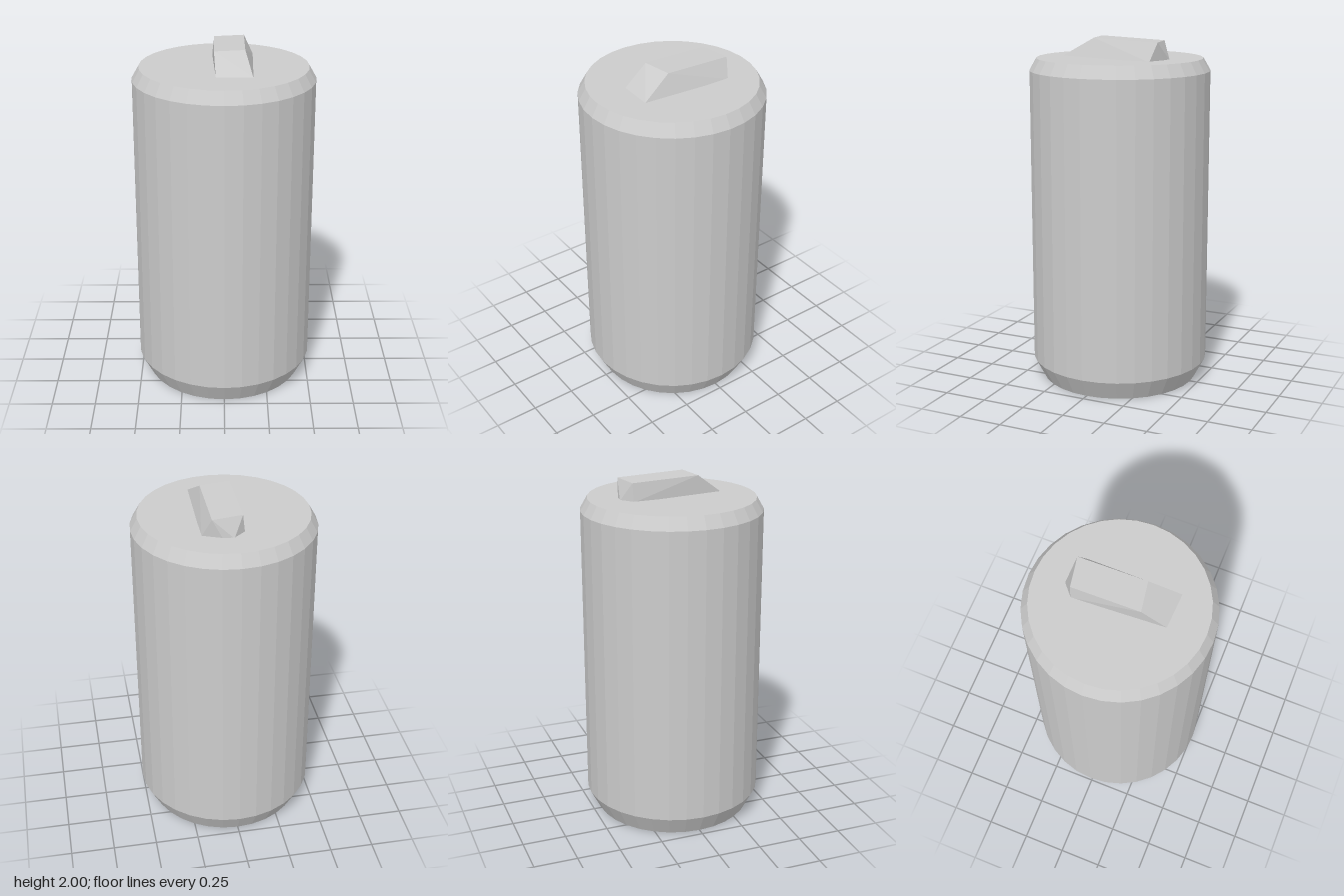
import * as THREE from 'three';
import { ConvexGeometry } from 'three/addons/geometries/ConvexGeometry.js';

export function createModel() {
  const group = new THREE.Group();
  const material = new THREE.MeshStandardMaterial({ color: 0xcccccc, flatShading: true });
  const add = (name, geometry) => {
    const mesh = new THREE.Mesh(geometry, material);
    mesh.name = name;
    group.add(mesh);
  };

  // Can body: closed profile with tapered shoulders at both ends
  const profile = [
    [0, 0], [0.455, 0], [0.515, 0.115], [0.515, 1.815], [0.475, 1.885], [0, 1.885],
  ].map(([r, y]) => new THREE.Vector2(r, y));
  add('canBody', new THREE.LatheGeometry(profile, 32));

  // Pull tab: faceted wedge, its tip lifted off the lid and its back sunk into it
  const corners = [
    // upper face
    [-0.055, 2.0, 0.135], [0.115, 2.0, 0.107], [0.115, 1.985, -0.28], [-0.055, 1.985, -0.25],
    // front tip
    [-0.045, 1.897, 0.273], [0.155, 1.897, 0.282],
    // rounded back edge
    [0.167, 1.88, -0.252], [0.06, 1.88, -0.297], [0, 1.88, -0.305], [-0.067, 1.88, -0.247],
  ].map((p) => new THREE.Vector3(...p));
  add('pullTab', new ConvexGeometry(corners));

  return group;
}
